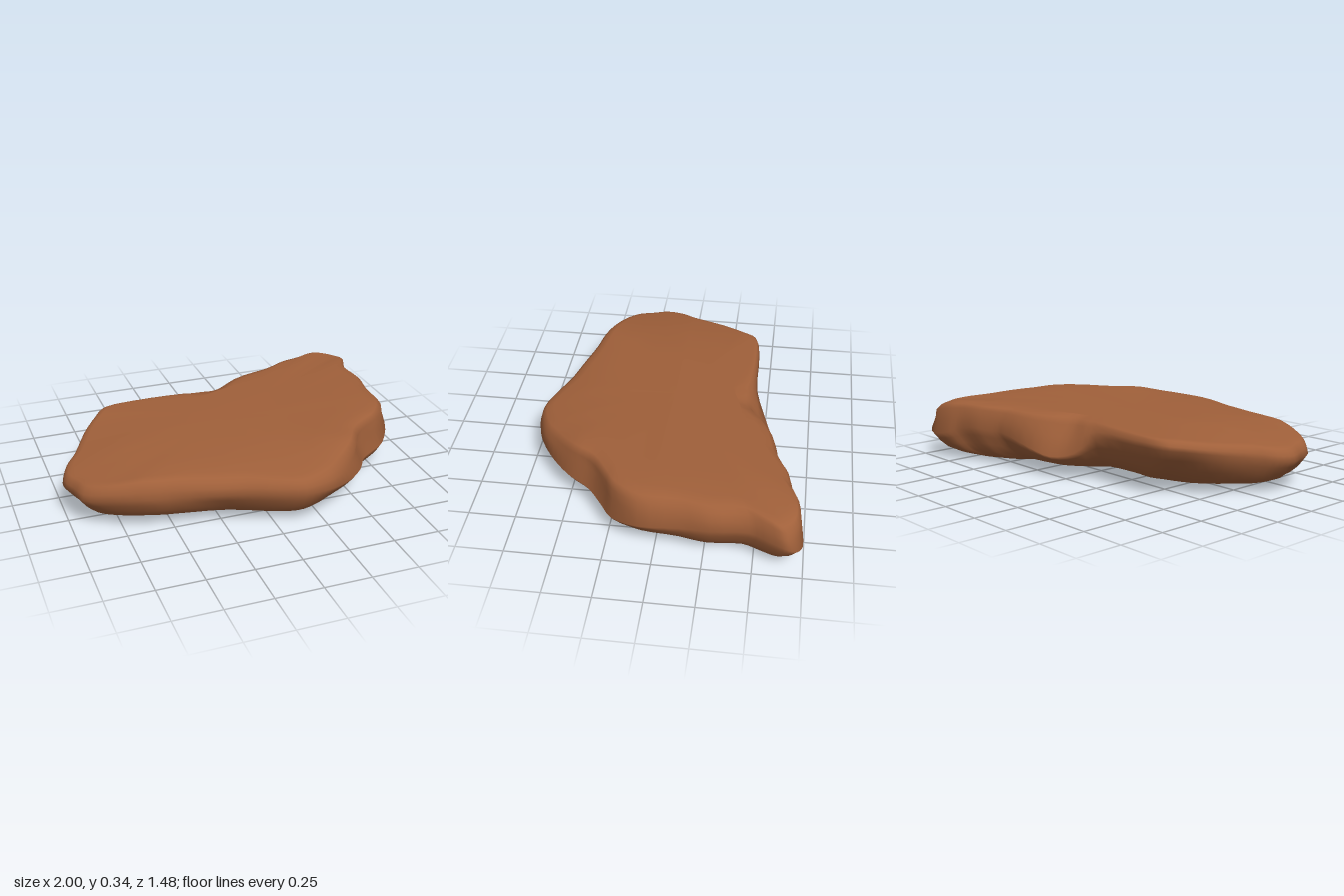
import * as THREE from 'three';

// Widest outline of the slab, seen from above: x, z and the height at which it is widest
const OUTLINE = [
  [-0.65, -0.41, 0.26], [-0.48, -0.435, 0.26], [-0.18, -0.445, 0.24], [-0.06, -0.5, 0.15], [0.08, -0.55, 0.12],
  [0.22, -0.58, 0.15], [0.44, -0.605, 0.2], [0.52, -0.635, 0.2], [0.6, -0.67, 0.21], [0.72, -0.695, 0.19],
  [0.8, -0.73, 0.16], [0.92, -0.74, 0.14], [0.98, -0.71, 0.16], [1, -0.66, 0.19], [0.97, -0.58, 0.2],
  [0.93, -0.48, 0.21], [0.945, -0.29, 0.21], [0.92, -0.13, 0.19], [0.91, 0.08, 0.17], [0.82, 0.23, 0.13],
  [0.74, 0.29, 0.13], [0.63, 0.38, 0.14], [0.55, 0.5, 0.15], [0.45, 0.6, 0.16], [0.34, 0.68, 0.18],
  [0.25, 0.715, 0.19], [0.13, 0.735, 0.2], [0, 0.7, 0.2], [-0.15, 0.64, 0.2], [-0.3, 0.6, 0.2],
  [-0.5, 0.545, 0.2], [-0.63, 0.52, 0.2], [-0.82, 0.45, 0.19], [-0.94, 0.36, 0.17], [-0.97, 0.27, 0.17],
  [-1, 0.18, 0.17], [-0.975, 0.08, 0.18], [-0.91, -0.01, 0.2], [-0.81, -0.2, 0.23], [-0.72, -0.33, 0.25],
];
const SEGMENTS = 120;

const bump = (x, z, cx, cz, r) => Math.exp(-((x - cx) ** 2 + (z - cz) ** 2) / (r * r));

// Gently tilted upper face that droops toward the left, front and rear right corner
const topY = (x, z) => 0.327 + 0.022 * x - 0.03 * Math.max(z, 0)
  - 0.19 * Math.max(-x - 0.65, 0) - 0.14 * Math.max(z - 0.45, 0)
  - 0.15 * Math.max(x - 0.8, 0) - 0.03 * bump(x, z, 1, -0.72, 0.15)
  + 0.01 * bump(x, z, 0.55, 0.4, 0.2);

// Underside: three low pads round a shallow hollow
const bottomY = (x, z) => 0.043 - 0.041 * bump(x, z, 0.68, -0.33, 0.28)
  - 0.035 * bump(x, z, 0, 0.38, 0.3) - 0.028 * bump(x, z, -0.5, 0, 0.35)
  + 0.035 * bump(x, z, 0.2, -0.03, 0.27);

// Top edge set back above the rear shelf
const shelf = (x, z) => 0.085 * bump(x, z, 0.06, -0.55, 0.16);

// Groove under the top edge at the front right flank and the rear corner
const groove = (x, z) => 0.03 * bump(x, z, 0.68, 0.38, 0.35) + 0.012 * bump(x, z, 0.95, -0.72, 0.12);

// Undercut is deeper below the rear left corner and shallower at the right flank
const undercut = (x, z) => 1 + 1.1 * bump(x, z, -0.65, -0.42, 0.35)
  - 0.35 * bump(x, z, 0.8, 0.25, 0.25);

// Rings above and below the widest line: t runs from it to the face, inset is the setback
const RINGS = [
  { up: true, t: 1, scale: 0.35 },
  { up: true, t: 1, scale: 0.65 },
  { up: true, t: 1, inset: 0.13, shelf: 1 },
  { up: true, t: 0.93, inset: 0.065, shelf: 1 },
  { up: true, t: 0.78, inset: 0.034, shelf: 1 },
  { up: true, t: 0.45, inset: 0.014, shelf: 0.7, groove: 1 },
  { t: 0, inset: 0 },
  { t: 0.25, inset: 0.02, rough: 0.4 },
  { t: 0.52, inset: 0.045, rough: 0.7 },
  { t: 0.78, inset: 0.085, rough: 0.6 },
  { t: 0.94, inset: 0.15 },
  { t: 1, inset: 0.23 },
  { t: 1, scale: 0.45 },
  { t: 1, scale: 0.22 },
];

// Position of one ring's point above or below the outline point p
function ringPoint(ring, p) {
  const angle = Math.atan2(p.z, p.x);
  const face = ring.up ? topY : bottomY;
  let inset = ring.inset ?? 0;
  if (ring.up) {
    inset *= THREE.MathUtils.clamp((topY(p.x, p.z) - p.y) / 0.12, 0.35, 1);
    inset += (ring.shelf ?? 0) * shelf(p.x, p.z) + (ring.groove ?? 0) * groove(p.x, p.z);
  } else {
    inset *= undercut(p.x, p.z);
    inset += (ring.rough ?? 0) * 0.012 * (Math.sin(angle * 7 + 0.6) + 0.5 * Math.sin(angle * 13));
  }
  const k = ring.scale ?? 1 - inset / Math.hypot(p.x, p.z);
  const x = p.x * k, z = p.z * k;
  return [x, THREE.MathUtils.lerp(p.y, face(x, z), ring.t), z];
}

function slabGeometry() {
  const curve = new THREE.CatmullRomCurve3(
    OUTLINE.map(([x, z, y]) => new THREE.Vector3(x, y, z)), true, 'centripetal');
  const positions = [0, topY(0, 0), 0];
  for (const ring of RINGS) {
    for (let i = 0; i < SEGMENTS; i++) positions.push(...ringPoint(ring, curve.getPoint(i / SEGMENTS)));
  }
  positions.push(0, bottomY(0, 0), 0);

  // Join the rings and close both faces with fans
  const index = [];
  const at = (r, i) => 1 + r * SEGMENTS + (i % SEGMENTS);
  const last = RINGS.length - 1;
  const bottom = 1 + RINGS.length * SEGMENTS;
  for (let i = 0; i < SEGMENTS; i++) {
    index.push(0, at(0, i + 1), at(0, i));
    for (let r = 0; r < last; r++) {
      index.push(at(r, i), at(r, i + 1), at(r + 1, i));
      index.push(at(r, i + 1), at(r + 1, i + 1), at(r + 1, i));
    }
    index.push(bottom, at(last, i), at(last, i + 1));
  }
  const geometry = new THREE.BufferGeometry();
  geometry.setAttribute('position', new THREE.Float32BufferAttribute(positions, 3));
  geometry.setIndex(index);
  geometry.computeVertexNormals();
  return geometry;
}

export function createModel() {
  const group = new THREE.Group();
  group.name = 'flatRock';
  const stone = new THREE.MeshStandardMaterial({ color: 0xa0603a });
  stone.name = 'redBrownStone';
  const slab = new THREE.Mesh(slabGeometry(), stone);
  slab.name = 'stoneSlab';
  group.add(slab);
  return group;
}
